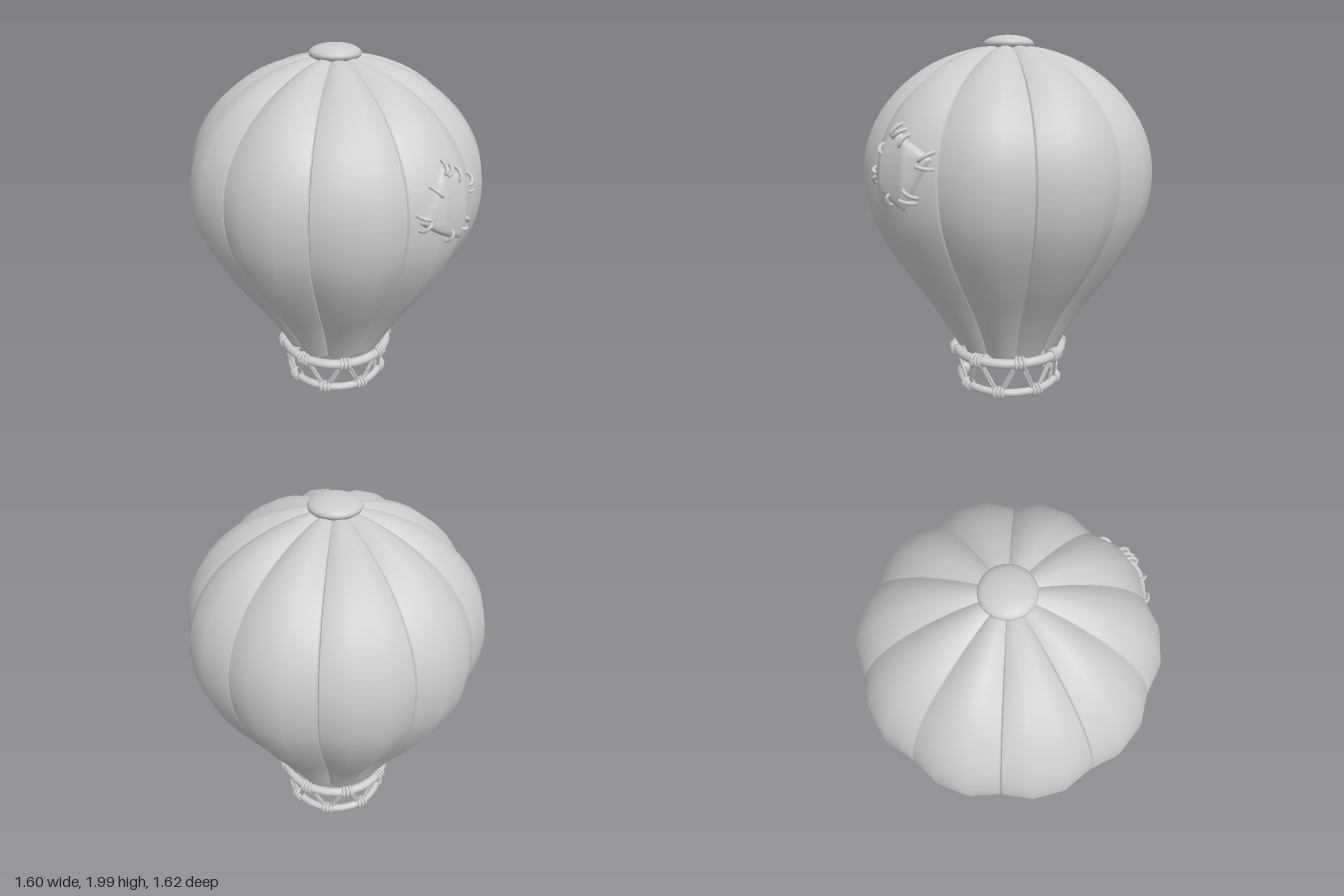
import * as THREE from 'three';

const material = new THREE.MeshStandardMaterial({ color: 0xcccccc, side: THREE.DoubleSide });
const DEG = Math.PI / 180;
const DEPTH = 0.034; // how far the seams are pulled in

// Envelope outline (radius, height) from mouth to crown
const outline = new THREE.SplineCurve([
  [0.295, 0.25], [0.36, 0.37], [0.46, 0.53], [0.585, 0.71], [0.70, 0.9], [0.775, 1.08], [0.80, 1.27],
  [0.773, 1.446], [0.69, 1.61], [0.56, 1.751], [0.395, 1.859], [0.207, 1.925], [0.056, 1.945],
].map(([r, y]) => new THREE.Vector2(r, y))).getPoints(44);

function add(parent, name, geometry) {
  const mesh = new THREE.Mesh(geometry, material);
  mesh.name = name;
  parent.add(mesh);
  return mesh;
}

// One fabric gore: three puffed facets with a narrow tuck at either seam
function goreGeometry() {
  const columns = [[0, 1.5], [0.7, 1], [12, 0], [24, 0], [35.3, 1], [36, 1.5]];
  const n = columns.length, pos = [], index = [];
  outline.forEach((p, i) => {
    const before = outline[Math.max(0, i - 1)], after = outline[Math.min(outline.length - 1, i + 1)];
    const tangent = after.clone().sub(before).normalize();
    const depth = DEPTH * Math.min(1, p.x / 0.4);
    columns.forEach(([angle, tuck], j) => {
      const r = p.x - tangent.y * depth * tuck, y = p.y + tangent.x * depth * tuck;
      pos.push(r * Math.cos(angle * DEG), y, r * Math.sin(angle * DEG));
      if (i && j) {
        const d = i * n + j, c = d - 1, b = d - n, a = b - 1;
        index.push(a, c, b, b, c, d);
      }
    });
  });
  const g = new THREE.BufferGeometry();
  g.setAttribute('position', new THREE.Float32BufferAttribute(pos, 3));
  g.setIndex(index);
  g.computeVertexNormals();
  return g;
}

// Point on the front of the envelope at (x, y), lifted outward by h
function onEnvelope(x, y, h) {
  const i = Math.max(1, outline.findIndex((p) => p.y >= y));
  const p = outline[i - 1], q = outline[i];
  const full = THREE.MathUtils.lerp(p.x, q.x, (y - p.y) / (q.y - p.y));
  let r = full;
  for (let n = 0; n < 6; n++) {
    const local = ((Math.acos(x / r) / DEG - 24) % 36 + 36) % 36;
    const facet = Math.floor(local / 12), t = local / 12 - facet;
    const inset = DEPTH * [1 - t, 0, t][facet];
    r = (full - inset) * Math.cos(6 * DEG) / Math.cos((t * 12 - 6) * DEG);
  }
  const z = Math.sqrt(r * r - x * x);
  return new THREE.Vector3(x * (1 + h / r), y, z * (1 + h / r));
}

// Cloth patch with stitches over its edge
function buildPatch() {
  const group = new THREE.Group();
  group.name = 'patch';
  const corners = [[0.115, 1.545], [0.365, 1.405], [0.24, 1.125], [-0.045, 1.285]].map((c) => new THREE.Vector2(...c));
  const [tl, tr, br, bl] = corners;
  const cloth = new THREE.PlaneGeometry(2, 2, 32, 32);
  const pos = cloth.attributes.position;
  for (let i = 0; i < pos.count; i++) {
    const u0 = pos.getX(i), v0 = pos.getY(i);
    const round = 1 - 0.07 * u0 * u0 * v0 * v0;
    const u = (u0 * round + 1) / 2, v = (v0 * round + 1) / 2;
    const p = bl.clone().lerp(br, u).lerp(tl.clone().lerp(tr, u), v);
    const rim = Math.max(Math.abs(u0), Math.abs(v0));
    const v3 = onEnvelope(p.x, p.y, 0.026 * Math.sqrt(1 - rim ** 12) - 0.003);
    pos.setXYZ(i, v3.x, v3.y, v3.z);
  }
  cloth.computeVertexNormals();
  add(group, 'patchCloth', cloth);

  // Positions along each edge, as shares of its length
  const stitches = [[0.06, 0.2, 0.4, 0.9], [0.17, 0.64, 0.76], [0.35, 0.88], [0.15, 0.6]];
  stitches.forEach((list, e) => list.forEach((t, k) => {
    const a = corners[e], b = corners[(e + 1) % 4];
    const mid = a.clone().lerp(b, t);
    const along = b.clone().sub(a).normalize();
    const out = new THREE.Vector2(-along.y, along.x).addScaledVector(along, k % 2 ? 0.3 : -0.2).normalize();
    const path = [[-0.04, 0.018], [-0.03, 0.03], [-0.006, 0.031], [0.012, 0.018], [0.02, -0.004]].map(([d, h]) =>
      onEnvelope(mid.x + out.x * d, mid.y + out.y * d, h));
    add(group, 'stitch', new THREE.TubeGeometry(new THREE.CatmullRomCurve3(path), 12, 0.01, 8));
  }));
  return group;
}

// Hoop with eight rope lashings wound around it
function buildHoop(name, radius, tube, y, firstAngle) {
  const group = new THREE.Group();
  group.name = name;
  group.position.y = y;
  add(group, name + 'Ring', new THREE.TorusGeometry(radius, tube, 12, 60).rotateX(Math.PI / 2));
  const loop = new THREE.TorusGeometry(tube + 0.004, 0.0095, 8, 18).rotateY(Math.PI / 2);
  for (let k = 0; k < 8; k++) {
    for (let n = -1; n <= 1; n++) {
      const a = (firstAngle + k * 45) * DEG + n * 0.019 / radius;
      const lashing = add(group, 'lashing', loop);
      lashing.position.set(Math.sin(a) * radius, 0, Math.cos(a) * radius);
      lashing.rotation.y = a + n * 0.12;
    }
  }
  return group;
}

export function createModel() {
  const model = new THREE.Group();
  model.name = 'hotAirBalloon';
  const body = new THREE.Group();
  body.name = 'balloon';
  body.position.z = -0.012;
  model.add(body);

  // Envelope of ten gores
  const envelope = new THREE.Group();
  envelope.name = 'envelope';
  const gore = goreGeometry();
  for (let k = 0; k < 10; k++) add(envelope, 'gore', gore).rotation.y = -(24 + 36 * k) * DEG;
  body.add(envelope);

  // Crown cap
  const cap = add(body, 'crownCap', new THREE.SphereGeometry(1, 36, 18));
  cap.scale.set(0.137, 0.048, 0.137);
  cap.position.y = 1.952;

  body.add(buildPatch());

  // Two hoops joined by a zigzag of doubled rope
  const top = { r: 0.308, y: 0.23 }, low = { r: 0.275, y: 0.045 };
  body.add(buildHoop('upperHoop', top.r, 0.027, top.y, 22.5));
  body.add(buildHoop('lowerHoop', low.r, 0.022, low.y, 0));
  const ropes = new THREE.Group();
  ropes.name = 'ropes';
  const at = (hoop, deg, shift) => {
    const a = deg * DEG + shift / hoop.r;
    return new THREE.Vector3(Math.sin(a) * hoop.r, hoop.y, Math.cos(a) * hoop.r);
  };
  for (let k = 0; k < 8; k++) {
    for (const side of [-1, 1]) {
      for (const shift of [-0.008, 0.008]) {
        const line = new THREE.LineCurve3(
          at(low, k * 45, side * 0.012 + shift), at(top, k * 45 + side * 22.5, -side * 0.012 + shift));
        add(ropes, 'rope', new THREE.TubeGeometry(line, 1, 0.008, 8));
      }
    }
  }
  body.add(ropes);
  return model;
}
